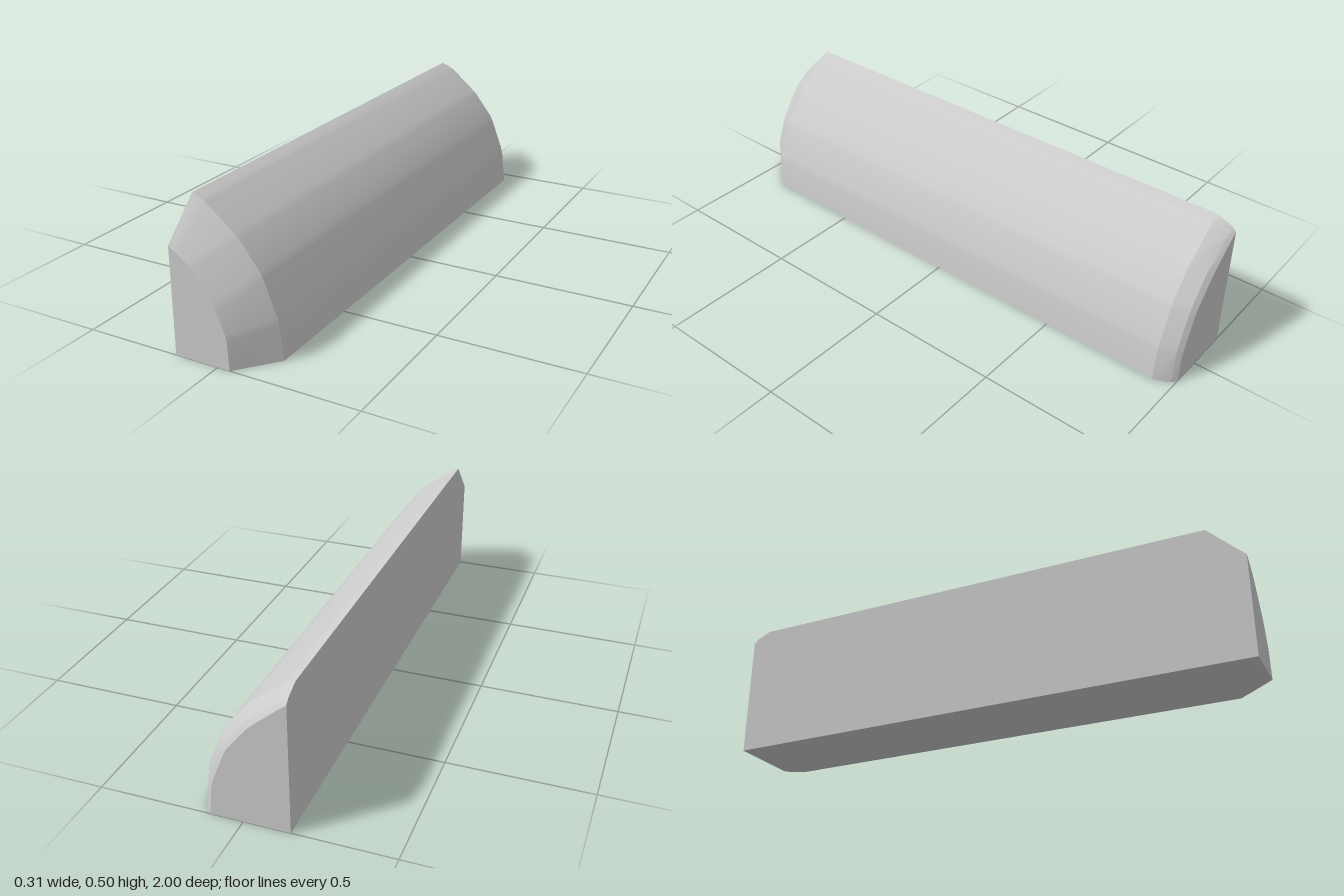
import * as THREE from 'three';
import { toCreasedNormals } from 'three/addons/utils/BufferGeometryUtils.js';

const FLAT_X = -0.158;

// Arc profiles from the bottom right up to the top left
const MAIN = [[0.157, 0], [0.142, 0.13], [0.087, 0.275], [0, 0.388], [-0.122, 0.484], [FLAT_X, 0.5]];
const FRONT = [[0.045, 0], [0.039, 0.11], [0, 0.205], [-0.085, 0.322], [-0.14, 0.362], [FLAT_X, 0.372]];
const BACK = [[0.112, 0], [0.1, 0.12], [0.047, 0.255], [-0.033, 0.355], [-0.135, 0.443], [FLAT_X, 0.46]];

const mix = (a, b, t) => a.map((p, i) => [p[0] + (b[i][0] - p[0]) * t, p[1] + (b[i][1] - p[1]) * t]);

// Cut every inner corner of a profile to give softened facet edges
function soften(profile, t = 0.08) {
  const out = [profile[0]];
  for (let i = 1; i < profile.length - 1; i++) {
    const [x, y] = profile[i];
    for (const q of [profile[i - 1], profile[i + 1]]) {
      out.push([x + (q[0] - x) * t, y + (q[1] - y) * t]);
    }
  }
  out.push(profile[profile.length - 1]);
  return out;
}

// Join closed sections, listed front to back, into a capped solid
function loft(sections) {
  const pos = [], index = [];
  const rings = sections.map(([z, profile]) => {
    const ring = [...soften(profile), [FLAT_X, 0]];
    ring.forEach(([x, y]) => pos.push(x, y, z));
    return ring;
  });
  const n = rings[0].length;
  for (let r = 0; r < rings.length - 1; r++) {
    for (let i = 0; i < n; i++) {
      const a = r * n + i, b = r * n + (i + 1) % n;
      index.push(a, a + n, b + n, a, b + n, b);
    }
  }
  // End caps fan out from the square corner
  const last = (rings.length - 1) * n;
  for (let i = 0; i < n - 2; i++) {
    index.push(n - 1, i, i + 1);
    index.push(last + n - 1, last + i + 1, last + i);
  }
  const geo = new THREE.BufferGeometry();
  geo.setAttribute('position', new THREE.Float32BufferAttribute(pos, 3));
  geo.setIndex(index);
  return toCreasedNormals(geo, 0.4);
}

export function createModel() {
  const group = new THREE.Group();
  group.name = 'quarterRoundBlock';

  // Long quarter-round bar: wide chamfer in front, small rounded bevel behind
  const bar = new THREE.Mesh(
    loft([
      [1, FRONT],
      [0.87, MAIN],
      [-0.93, MAIN],
      [-0.985, mix(MAIN, BACK, 0.6)],
      [-1, BACK],
    ]),
    new THREE.MeshStandardMaterial({ color: 0xcccccc })
  );
  bar.name = 'chamferedBar';
  group.add(bar);
  return group;
}
